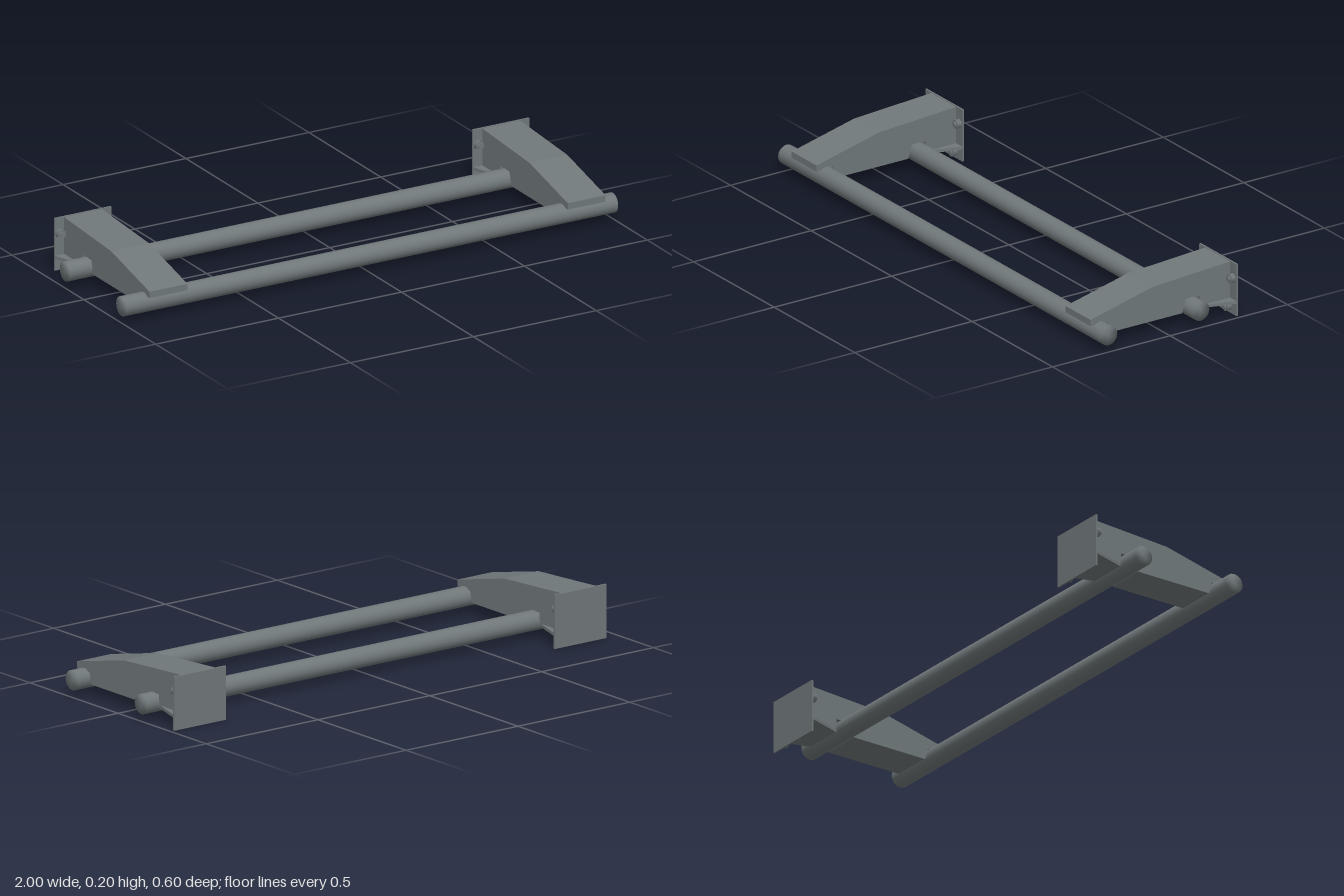
import * as THREE from 'three';
import { mergeVertices } from 'three/addons/utils/BufferGeometryUtils.js';

export function createModel() {
  const steel = new THREE.MeshStandardMaterial({ color: 0x70787a });
  steel.name = 'grey steel';
  const model = new THREE.Group();
  model.name = 'railMount';

  const add = (parent, name, geometry, x = 0, y = 0, z = 0) => {
    const mesh = new THREE.Mesh(geometry, steel);
    mesh.name = name;
    mesh.position.set(x, y, z);
    parent.add(mesh);
    return mesh;
  };
  const extrude = (points, depth) => new THREE.ExtrudeGeometry(
    new THREE.Shape(points.map(([a, b]) => new THREE.Vector2(a, b))),
    { depth, bevelEnabled: false }
  ).translate(0, 0, -depth / 2);

  // Long round rails, normals blended over the end caps
  let rail = new THREE.CylinderGeometry(0.0365, 0.0365, 2, 16);
  rail.deleteAttribute('normal');
  rail.deleteAttribute('uv');
  rail = mergeVertices(rail);
  rail.computeVertexNormals();
  rail.rotateZ(Math.PI / 2);
  add(model, 'frontRail', rail, 0, 0.062, 0.261);
  add(model, 'backRail', rail, 0, 0.062, -0.131);

  // Side profile of the arm as (z, y), notched for the rails
  const armGeometry = extrude([
    [0.302, 0.113], [0.035, 0.176], [-0.293, 0.195], [-0.293, 0.046],
    [-0.167, 0.046], [-0.165, 0.055], [-0.165, 0.096], [-0.104, 0.096],
    [-0.094, 0.06], [-0.088, 0.046], [0.217, 0.046], [0.222, 0.055],
    [0.23, 0.089], [0.302, 0.089]
  ], 0.154).rotateY(-Math.PI / 2);

  // Flat gusset as (x, z), widening towards the wall plate
  const gussetGeometry = extrude([
    [-0.077, -0.17], [-0.115, -0.293], [0.115, -0.293], [0.077, -0.17]
  ], 0.011).rotateX(Math.PI / 2);

  const plateGeometry = new THREE.BoxGeometry(0.23, 0.197, 0.007);
  const nutGeometry = new THREE.CylinderGeometry(0.018, 0.018, 0.018, 6).rotateX(Math.PI / 2);
  const studGeometry = new THREE.CylinderGeometry(0.01, 0.01, 0.024, 12).rotateX(Math.PI / 2);
  const boltSpots = [[-0.096, 0.139], [0.096, 0.139], [-0.07, 0.025], [0, 0.025], [0.07, 0.025]];

  for (const [side, x] of [['right', -0.832], ['left', 0.869]]) {
    const bracket = new THREE.Group();
    bracket.name = side + 'Bracket';
    bracket.position.x = x;
    model.add(bracket);
    add(bracket, 'arm', armGeometry);
    add(bracket, 'gusset', gussetGeometry, 0, 0.0515, 0);
    add(bracket, 'wallPlate', plateGeometry, 0, 0.0985, -0.2965);
    for (const [bx, by] of boltSpots) {
      add(bracket, 'nut', nutGeometry, bx, by, -0.284);
      add(bracket, 'stud', studGeometry, bx, by, -0.281);
    }
  }
  return model;
}
